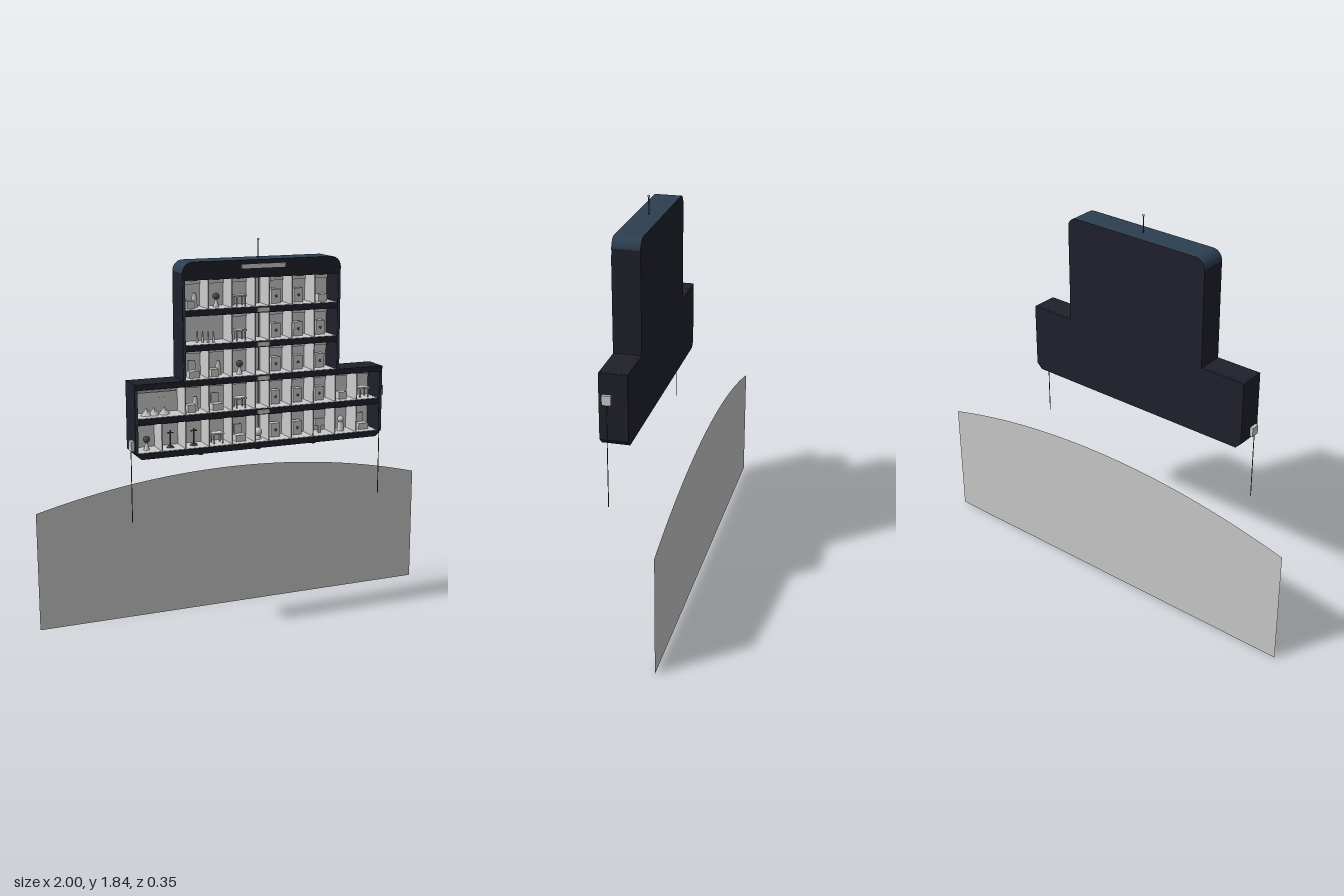
import * as THREE from 'three';

const mat = (name, color, extra = {}) => {
  const m = new THREE.MeshStandardMaterial({ color, ...extra });
  m.name = name;
  return m;
};

export function createModel() {
  const model = new THREE.Group();
  const dark = mat('dark hull', 0x20202c);
  const blue = mat('slate blue', 0x2c3e50);
  const light = mat('pale grey', 0xcccccc);
  const ground = mat('ground grey', 0xc8c8c8, { side: THREE.DoubleSide });
  const iron = mat('iron', 0x4a4a4a);
  const Z0 = 0.04, Z1 = 0.17, MID = 0.107;

  const add = (name, geo, m, x = 0, y = 0, z = 0, parent = model) => {
    const mesh = new THREE.Mesh(geo, m);
    mesh.name = name;
    mesh.position.set(x, y, z);
    parent.add(mesh);
    return mesh;
  };
  // Box standing on y
  const box = (name, w, h, d, m, x, y, z, parent) =>
    add(name, new THREE.BoxGeometry(w, h, d), m, x, y + h / 2, z, parent);
  const rod = (name, r0, r1, h, m, x, y, z, parent, n = 10) =>
    add(name, new THREE.CylinderGeometry(r1, r0, h, n), m, x, y + h / 2, z, parent);
  const ball = (name, r, m, x, y, z, parent) =>
    add(name, new THREE.SphereGeometry(r, 12, 8), m, x, y, z, parent);
  // Outline from right-hand points, mirrored to the left
  const mirrored = pts => [...pts, ...pts.map(([x, y]) => [-x, y]).reverse()]
    .map(([x, y]) => new THREE.Vector2(x, y));
  const extrude = (shape, depth) =>
    new THREE.ExtrudeGeometry(shape, { depth, bevelEnabled: false, curveSegments: 10 });

  // Curved ground section
  const hill = new THREE.Shape();
  const R = 3.91, a = Math.asin(1 / R);
  hill.moveTo(-1, 0);
  hill.lineTo(1, 0);
  hill.absarc(0, 0.705 - R, R, Math.PI / 2 - a, Math.PI / 2 + a, false);
  add('groundSection', new THREE.ShapeGeometry(hill, 48), ground, 0, 0, -0.174);

  // Hull: back panel and open frame
  const outline = [[0.59, 0.877], [0.618, 0.905], [0.618, 1.219], [0.388, 1.219], [0.388, 1.7]];
  add('backPanel', extrude(new THREE.Shape(mirrored(outline)), 0.01), dark, 0, 0, Z0);
  const frame = new THREE.Shape(mirrored(outline));
  frame.holes.push(new THREE.Path(mirrored(
    [[0.604, 0.904], [0.604, 1.193], [0.375, 1.193], [0.375, 1.668]])));
  add('outerFrame', extrude(frame, Z1 - Z0 - 0.01), dark, 0, 0, Z0 + 0.01);

  // Rounded roof cap with blue upper skin
  const roof = new THREE.Shape();
  const r = 0.049;
  roof.moveTo(-0.388, 1.7);
  roof.lineTo(0.388, 1.7);
  roof.absarc(0.388 - r, 1.7, r, 0, Math.PI / 2, false);
  roof.absarc(-0.388 + r, 1.7, r, Math.PI / 2, Math.PI, false);
  add('roofCap', extrude(roof, Z1 - Z0), [dark, blue], 0, 0, Z0);
  box('roofSign', 0.214, 0.018, 0.006, light, 0, 1.711, Z1 + 0.002);

  // Blue trim on the wall fronts
  for (const s of [-1, 1]) {
    box('lowerWallTrim', 0.009, 0.285, 0.004, blue, s * 0.611, 0.907, Z1);
    box('upperWallTrim', 0.009, 0.45, 0.004, blue, s * 0.3815, 1.219, Z1);
  }

  // Interior linings
  box('lowerRoomWall', 1.206, 0.288, 0.004, light, 0, 0.905, Z0 + 0.012);
  box('upperRoomWall', 0.748, 0.474, 0.004, light, 0, 1.194, Z0 + 0.012);

  // Floor slabs with lift thresholds
  const H = 0.1577, FLOOR = 0.904, RH = 0.13, PITCH = 0.1135;
  for (let i = 1; i < 5; i++) {
    const y = FLOOR + i * H - 0.027;
    box('floorSlab', i < 3 ? 1.208 : 0.752, 0.027, 0.116, dark, 0, y, 0.112);
    box('liftThreshold', 0.058, 0.018, 0.008, light, 0, y + 0.005, Z1 + 0.001);
  }
  for (let i = 0; i < 5; i++) {
    const half = i < 2 ? 0.6 : 0.372;
    box('roomFloor', half * 2, 0.002, 0.11, light, 0, FLOOR + i * H, 0.11);
  }

  // Furniture, each built on the origin
  const kinds = {
    safe(g) {
      box('cabinet', 0.046, 0.066, 0.035, light, 0, 0, -0.02, g);
      ball('knob', 0.006, iron, 0, 0.034, -0.001, g);
    },
    vase(g) {
      box('lowTable', 0.036, 0.035, 0.04, light, -0.015, 0, 0, g);
      rod('vase', 0.015, 0.009, 0.065, light, 0.016, 0, -0.02, g);
    },
    globe(g) {
      rod('stand', 0.014, 0.004, 0.035, light, 0, 0, 0, g);
      ball('globe', 0.016, iron, 0, 0.048, 0, g);
    },
    table(g) {
      box('tableTop', 0.056, 0.007, 0.05, light, 0, 0.043, 0, g);
      for (const x of [-0.021, 0.021]) for (const z of [-0.019, 0.019])
        box('tableLeg', 0.006, 0.043, 0.006, light, x, 0, z, g);
    },
    chair(g) {
      box('seat', 0.05, 0.03, 0.04, light, 0, 0, 0, g);
      box('chairBack', 0.036, 0.075, 0.01, light, 0, 0, -0.024, g);
    },
    crate(g) { box('crate', 0.042, 0.035, 0.04, light, 0, 0, 0, g); },
    lamp(g) {
      rod('lampBase', 0.018, 0.012, 0.008, iron, 0, 0, 0, g);
      rod('lampPole', 0.003, 0.003, 0.08, iron, 0, 0, 0, g);
      box('lampArm', 0.03, 0.005, 0.005, iron, 0, 0.066, 0, g);
    },
    screen(g) {
      box('screenFoot', 0.012, 0.035, 0.012, light, 0, 0, 0, g);
      box('screen', 0.05, 0.036, 0.01, light, 0, 0.035, 0, g);
    },
    bust(g) {
      rod('pedestal', 0.018, 0.013, 0.045, light, 0, 0, 0, g);
      ball('bust', 0.015, light, 0, 0.057, 0, g);
    },
    skittles(g) {
      for (const x of [-0.03, -0.008, 0.014, 0.036])
        rod('skittle', 0.006, 0.003, 0.05, light, x, 0, x * 0.5, g);
    },
    tents(g) {
      for (const x of [-0.055, -0.02, 0.03])
        rod('pyramid', 0.028, 0, 0.036, light, x, 0, 0, g, 4);
      box('picture', 0.028, 0.018, 0.005, light, 0.035, 0.05, -0.052, g);
      box('shelf', 0.2, 0.005, 0.02, light, 0, 0.095, -0.045, g);
    },
  };

  // Rooms from bottom to top; columns 0-4 lie left of the shaft, 5-9 right of it
  const rooms = [
    ['globe', 'lamp', 'lamp', 'table', 'chair', 'safe', 'safe', 'screen', 'bust', 'chair'],
    ['tents', '', 'vase', 'chair', 'table', 'safe', 'safe', 'safe', 'crate', 'table'],
    [null, null, 'chair', 'vase', 'globe', 'safe', 'safe', 'safe', null, null],
    [null, null, 'skittles', '', 'table', 'safe', 'safe', 'safe', null, null],
    [null, null, 'vase', 'globe', 'table', 'safe', 'safe', 'crate', null, null],
  ];
  const wide = ['tents', 'skittles'];
  rooms.forEach((row, i) => {
    const y = FLOOR + i * H + 0.002;
    row.forEach((kind, c) => {
      if (kind === null) return;
      const side = c < 5 ? -1 : 1;
      const n = c < 5 ? 4 - c : c - 5;
      const x = side * (0.035 + PITCH * (n + 0.5));
      const span = wide.includes(kind);
      // Partition on the shaft side of the room
      if (!span) box('partition', 0.005, RH, 0.105, light, x - side * PITCH / 2, y, 0.108);
      if (!kind) return;
      // Ceiling header and small vent at the back
      if (!span) {
        box('header', PITCH - 0.012, 0.026, 0.012, light, x, y + 0.102, 0.064);
        box('ceilingLamp', 0.03, 0.006, 0.03, light, x, y + 0.122, MID);
      }
      const g = new THREE.Group();
      g.name = kind + 'Furniture';
      g.position.set(x + (span ? PITCH / 2 : 0), y, MID);
      kinds[kind](g);
      model.add(g);
    });
    // Lift shaft guide rails
    for (const s of [-1, 1]) box('liftRail', 0.004, RH, 0.004, light, s * 0.02, y, 0.066);
  });
  rod('liftPedestal', 0.018, 0.012, 0.02, light, 0, FLOOR, MID);
  ball('liftGlobe', 0.021, light, 0, FLOOR + 0.036, MID);

  // Roof antenna
  rod('antennaMast', 0.0025, 0.0025, 0.085, iron, 0, 1.748, MID);
  ball('antennaTip', 0.006, light, 0, 1.833, MID);

  // Side winches with hanging cables
  for (const [s, y] of [[-1, 0.915], [1, 1.075]]) {
    box('winchBox', 0.016, 0.045, 0.042, light, s * 0.625, y, 0.133);
    rod('cable', 0.002, 0.002, y - 0.58, iron, s * 0.628, 0.58, 0.133, model, 6);
  }

  // Underside thrusters
  for (const x of [-0.286, 0, 0.286]) {
    rod('thrusterCollar', 0.02, 0.024, 0.011, iron, x, 0.867, MID, model, 12);
    rod('thrusterNozzle', 0.013, 0.016, 0.008, iron, x, 0.859, MID, model, 12);
  }
  return model;
}
